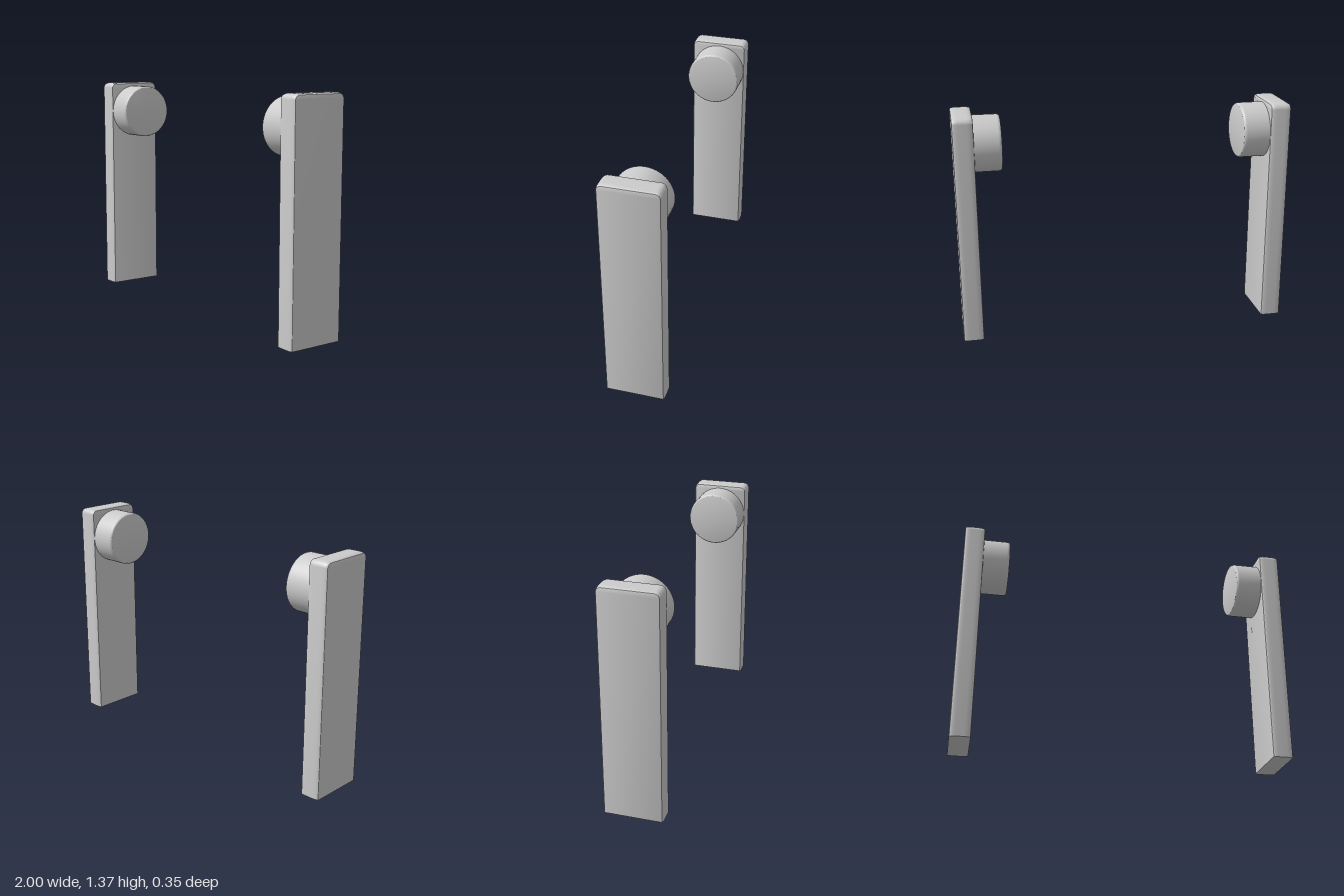
import * as THREE from 'three';
import { toCreasedNormals } from 'three/addons/utils/BufferGeometryUtils.js';

const material = new THREE.MeshStandardMaterial({ color: 0xcccccc });

// Flat upright post: rounded top corners, softened edges, flat cut base
function postGeometry() {
  const height = 1.37, half = 0.175, width = 0.12;
  const inset = 0.01, depth = 0.035, r = 0.025;
  const w = half - inset, h = height - inset;
  const shape = new THREE.Shape();
  shape.moveTo(-w, 0.01);
  shape.lineTo(w, 0.01);
  shape.lineTo(w, h - r);
  shape.absarc(w - r, h - r, r, 0, Math.PI / 2, false);
  shape.absarc(-w + r, h - r, r, Math.PI / 2, Math.PI, false);
  shape.closePath();
  const geo = new THREE.ExtrudeGeometry(shape, {
    depth: width - 2 * depth, bevelSize: inset, bevelThickness: depth,
    bevelSegments: 5, curveSegments: 6,
  });
  // level the base on the ground
  const p = geo.attributes.position;
  for (let i = 0; i < p.count; i++) if (p.getY(i) < 0.05) p.setY(i, 0);
  geo.translate(0, 0, -(width / 2 - depth));
  geo.rotateY(Math.PI / 2);
  return toCreasedNormals(geo, 0.55);
}

// Round knob with a softened rim, its axis along x, the cap facing -x
function knobGeometry() {
  const R = 0.167, length = 0.18, inset = 0.01, depth = 0.02;
  const profile = [new THREE.Vector2(0, 0), new THREE.Vector2(R, 0)];
  for (let i = 0; i <= 5; i++) {
    const a = (i / 5) * Math.PI / 2;
    profile.push(new THREE.Vector2(
      R - inset + inset * Math.cos(a), length - depth + depth * Math.sin(a)));
  }
  profile.push(new THREE.Vector2(0, length));
  const geo = new THREE.LatheGeometry(profile, 48);
  geo.rotateZ(Math.PI / 2);
  return toCreasedNormals(geo, 0.55);
}

export function createModel() {
  const model = new THREE.Group();
  model.name = 'knobbedPosts';
  const postGeo = postGeometry(), knobGeo = knobGeometry();

  // One post with an inward knob on each side
  for (const side of [1, -1]) {
    const group = new THREE.Group();
    group.name = side > 0 ? 'leftSupport' : 'rightSupport';

    const post = new THREE.Mesh(postGeo, material);
    post.name = 'post';
    post.position.x = 0.94;

    const knob = new THREE.Mesh(knobGeo, material);
    knob.name = 'knob';
    knob.position.set(0.9, 1.182, 0);

    group.add(post, knob);
    if (side < 0) group.rotation.y = Math.PI;
    model.add(group);
  }
  return model;
}
